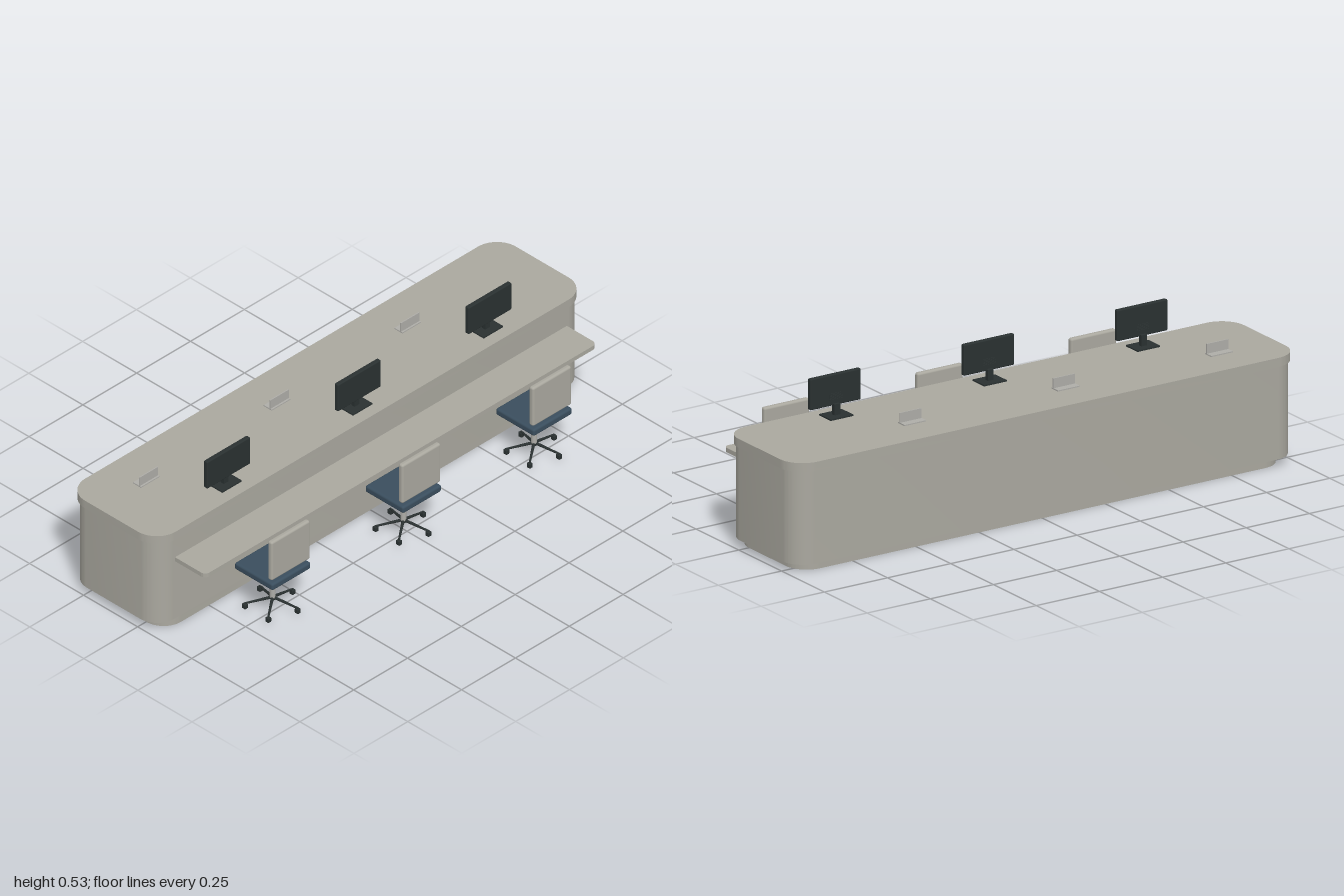
import * as THREE from 'three';
import { toCreasedNormals } from 'three/addons/utils/BufferGeometryUtils.js';
import { RoundedBoxGeometry } from 'three/addons/geometries/RoundedBoxGeometry.js';

const paint = (name, color) => {
  const m = new THREE.MeshStandardMaterial({ color });
  m.name = name;
  return m;
};

export function createModel() {
  const laminate = paint('warm grey laminate', 0xaaa89f);
  const fabric = paint('blue fabric', 0x3a4e5e);
  const black = paint('dark plastic', 0x2a3131);
  const metal = paint('light metal', 0xaeada8);

  const model = new THREE.Group();
  model.name = 'receptionDesk';

  const add = (parent, name, geometry, material, x = 0, y = 0, z = 0) => {
    const mesh = new THREE.Mesh(geometry, material);
    mesh.name = name;
    mesh.position.set(x, y, z);
    parent.add(mesh);
    return mesh;
  };
  const group = (parent, name, x, y, z) => {
    const g = new THREE.Group();
    g.name = name;
    g.position.set(x, y, z);
    parent.add(g);
    return g;
  };

  // Horizontal slab with rounded plan corners
  const slab = (name, halfX, z0, z1, y0, y1, r) => {
    const h = (z1 - z0) / 2;
    const s = new THREE.Shape();
    s.moveTo(-halfX + r, -h);
    s.lineTo(halfX - r, -h);
    s.absarc(halfX - r, -h + r, r, -Math.PI / 2, 0);
    s.absarc(halfX - r, h - r, r, 0, Math.PI / 2);
    s.absarc(-halfX + r, h - r, r, Math.PI / 2, Math.PI);
    s.absarc(-halfX + r, -h + r, r, Math.PI, Math.PI * 1.5);
    const geo = new THREE.ExtrudeGeometry(s, { depth: y1 - y0, bevelEnabled: false, curveSegments: 10 });
    geo.rotateX(-Math.PI / 2);
    add(model, name, toCreasedNormals(geo, 0.5), laminate, 0, y0, (z0 + z1) / 2);
  };

  // Counter
  slab('plinth', 0.96, -0.298, 0.081, 0, 0.03, 0.08);
  slab('counterBody', 0.992, -0.322, 0.083, 0.03, 0.355, 0.08);
  slab('counterTop', 1, -0.33, 0.089, 0.355, 0.386, 0.088);
  slab('workShelf', 0.91, 0.06, 0.223, 0.262, 0.278, 0.02);

  // Bar between two points, thicker at its start
  const bar = (parent, name, a, b, rA, rB, material) => {
    const dir = b.clone().sub(a);
    const mesh = add(parent, name, new THREE.CylinderGeometry(rB, rA, dir.length(), 10), material);
    mesh.position.copy(a).add(b).multiplyScalar(0.5);
    mesh.quaternion.setFromUnitVectors(new THREE.Vector3(0, 1, 0), dir.normalize());
  };

  const addChair = (x) => {
    const chair = group(model, 'chair', x, 0, 0.233);
    add(chair, 'seat', new RoundedBoxGeometry(0.18, 0.027, 0.177, 3, 0.008), fabric, 0, 0.165, 0);
    add(chair, 'backrest', new RoundedBoxGeometry(0.18, 0.156, 0.021, 3, 0.008), laminate, 0, 0.268, 0.075);
    add(chair, 'column', new THREE.CylinderGeometry(0.01, 0.01, 0.115, 16), metal, 0, 0.0955, 0);
    add(chair, 'hub', new THREE.CylinderGeometry(0.01, 0.008, 0.014, 16), black, 0, 0.036, 0);
    // Five-star base, one spoke pointing to +x
    for (let i = 0; i < 5; i++) {
      const a = (i / 5) * Math.PI * 2;
      const tip = new THREE.Vector3(Math.cos(a) * 0.092, 0.023, Math.sin(a) * 0.092);
      bar(chair, 'spoke', new THREE.Vector3(0, 0.039, 0), tip, 0.0055, 0.0035, black);
      add(chair, 'caster', new RoundedBoxGeometry(0.015, 0.018, 0.016, 2, 0.003), black, tip.x, 0.013, tip.z);
    }
  };

  const addMonitor = (x) => {
    const monitor = group(model, 'monitor', x, 0.386, 0.011);
    add(monitor, 'standBase', new THREE.BoxGeometry(0.09, 0.005, 0.068), black, 0, 0.0025, 0);
    add(monitor, 'standNeck', new THREE.BoxGeometry(0.022, 0.04, 0.015), black, 0, 0.023, 0);
    add(monitor, 'screen', new RoundedBoxGeometry(0.2, 0.108, 0.017, 3, 0.004), black, 0, 0.09, 0.011);
    // Cooling ribs on the back
    for (let i = 0; i < 5; i++) {
      add(monitor, 'rib', new THREE.BoxGeometry(0.05, 0.002, 0.003), black, 0, 0.058 + i * 0.005, 0.002);
    }
  };

  // Small sign holder facing the visitor side
  const addSign = (x) => {
    const sign = group(model, 'signHolder', x, 0.386, -0.172);
    add(sign, 'signFoot', new THREE.BoxGeometry(0.086, 0.004, 0.037), metal, 0, 0.002, -0.01);
    add(sign, 'signPlate', new THREE.BoxGeometry(0.086, 0.035, 0.004), metal, 0, 0.0205, 0);
  };

  for (const x of [-0.607, 0, 0.607]) {
    addChair(x);
    addMonitor(x);
    addSign(x - 0.17);
  }
  return model;
}
